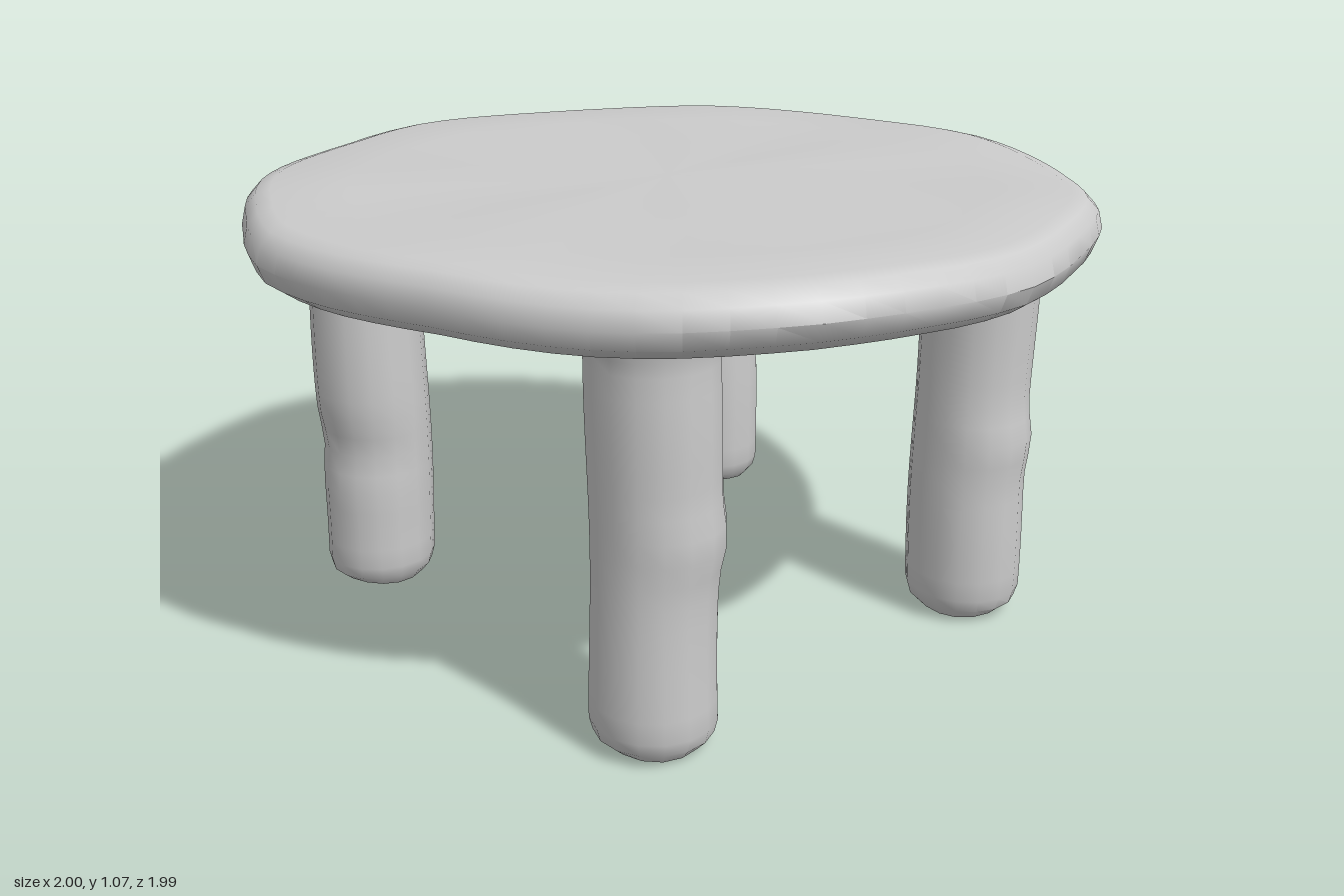
import * as THREE from 'three';
import { mergeVertices, toCreasedNormals } from 'three/addons/utils/BufferGeometryUtils.js';

const material = new THREE.MeshStandardMaterial({ color: 0xcccccc });

// Lathe whose vertices are moved by a rule, welded and given soft normals
function carvedLathe(profile, segments, rule) {
  const points = profile.map(([r, y]) => new THREE.Vector2(r, y));
  let geometry = new THREE.LatheGeometry(points, segments);
  geometry.deleteAttribute('uv');
  geometry.deleteAttribute('normal');
  geometry = mergeVertices(geometry, 1e-4);
  const pos = geometry.attributes.position;
  const v = new THREE.Vector3();
  for (let i = 0; i < pos.count; i++) {
    v.fromBufferAttribute(pos, i);
    rule(v, Math.atan2(v.z, v.x));
    pos.setXYZ(i, v.x, v.y, v.z);
  }
  return toCreasedNormals(geometry, 0.6);
}

// Rim radius every 15 degrees, from +x towards +z
const rim = [1, 0.99, 0.985, 1, 0.99, 1, 0.99, 1, 0.99, 0.975, 0.965, 0.985,
  1, 0.98, 0.985, 0.985, 0.98, 1, 0.995, 1, 0.985, 0.985, 0.995, 0.985];

function rimRadius(angle) {
  const t = ((angle / (Math.PI * 2) + 1) % 1) * rim.length;
  const i = Math.floor(t);
  return THREE.MathUtils.lerp(rim[i % rim.length], rim[(i + 1) % rim.length], t - i);
}

function makeTop() {
  // Rounded slab with a shallow round pad underneath
  const profile = [
    [0, 0.917], [0.25, 0.917], [0.43, 0.917], [0.46, 0.928], [0.7, 0.926], [0.9, 0.926],
    [0.95, 0.935], [0.985, 0.96], [1, 1], [0.99, 1.04], [0.965, 1.066],
    [0.93, 1.075], [0.75, 1.073], [0.5, 1.075], [0.25, 1.075], [0, 1.075],
  ];
  const geometry = carvedLathe(profile, 72, (v, angle) => {
    const r = Math.hypot(v.x, v.z);
    const scale = THREE.MathUtils.lerp(1, rimRadius(angle), r);
    // gentle hand-worked unevenness
    v.y += 0.004 * Math.sin(5 * v.x + 2 * v.z) * Math.cos(6 * v.z - 2 * v.x);
    v.y += 0.003 * r * Math.sin(angle * 7 + 1);
    v.x *= scale;
    v.z *= scale;
  });
  const top = new THREE.Mesh(geometry, material);
  top.name = 'tableTop';
  return top;
}

// Legs: position, height of the worn ridge, ridge size, and its facing angle
const legs = [
  { name: 'frontLeftLeg', x: 0.575, z: 0.465, ridge: 0.46, size: 0.014, facing: 1.2 },
  { name: 'frontRightLeg', x: -0.41, z: 0.615, ridge: 0.49, size: 0.014, facing: 0.9 },
  { name: 'backRightLeg', x: -0.59, z: -0.46, ridge: 0.38, size: -0.016, facing: 2.6 },
  { name: 'backLeftLeg', x: 0.505, z: -0.585, ridge: 0.3, size: 0.006, facing: -0.3 },
];

function makeLeg({ name, x, z, ridge, size, facing }, index) {
  const profile = [[0, 0.012], [0.08, 0.012], [0.108, 0.018], [0.13, 0.04], [0.138, 0.07]];
  for (let y = 0.12; y < 0.9; y += 0.05) profile.push([0.138, y]);
  profile.push([0.14, 0.9], [0.148, 0.93], [0, 0.96]);
  const geometry = carvedLathe(profile, 16, (v, angle) => {
    const r = Math.hypot(v.x, v.z);
    if (r < 1e-3) return;
    const side = Math.max(0, Math.cos(angle - facing));
    const bump = size * side * Math.exp(-(((v.y - ridge) / 0.06) ** 2));
    const wave = 0.004 * Math.sin(v.y * 8 + index * 2 + Math.cos(angle));
    const scale = 1 + (bump + wave) / 0.138;
    v.x *= scale;
    v.z *= scale;
    if (v.y < 0.03) v.y += 0.005 * Math.sin(angle * 2 + index);
  });
  const leg = new THREE.Mesh(geometry, material);
  leg.name = name;
  leg.position.set(x, 0, z);
  return leg;
}

export function createModel() {
  const table = new THREE.Group();
  table.name = 'roundTable';
  table.add(makeTop(), ...legs.map(makeLeg));
  return table;
}
